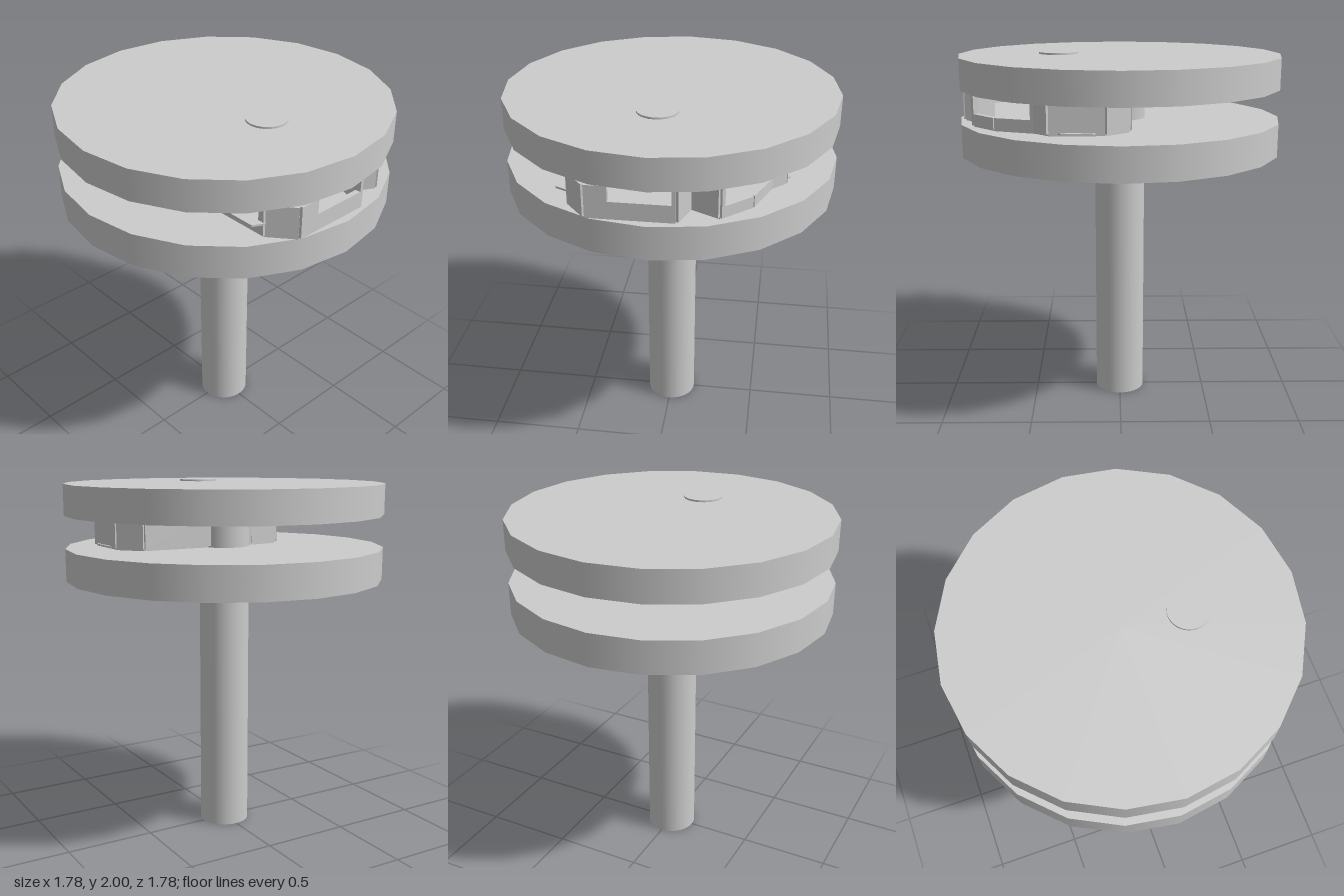
import * as THREE from 'three';

const grey = new THREE.MeshStandardMaterial({ color: 0xcccccc, side: THREE.DoubleSide });

function add(parent, name, geometry) {
  const mesh = new THREE.Mesh(geometry, grey);
  mesh.name = name;
  parent.add(mesh);
  return mesh;
}

// upright cylinder between two heights
function post(parent, name, r, y0, y1, sides, x = 0, z = 0) {
  add(parent, name, new THREE.CylinderGeometry(r, r, y1 - y0, sides)).position.set(x, (y0 + y1) / 2, z);
}

// straight wall slab from a to b ([x, z]) between two heights
function slab(parent, name, a, b, y0, y1, t = 0.03) {
  const dx = b[0] - a[0], dz = b[1] - a[1];
  const mesh = add(parent, name, new THREE.BoxGeometry(Math.hypot(dx, dz), y1 - y0, t));
  mesh.position.set((a[0] + b[0]) / 2, (y0 + y1) / 2, (a[1] + b[1]) / 2);
  mesh.rotation.y = -Math.atan2(dz, dx);
}

// wall with an opening between fractions u0 and u1 of its length
function windowWall(parent, a, b, u0, u1, sill, lintel) {
  const at = u => [a[0] + (b[0] - a[0]) * u, a[1] + (b[1] - a[1]) * u];
  slab(parent, 'windowSill', a, b, 1.65, sill);
  if (lintel < 1.82) slab(parent, 'windowLintel', a, b, lintel, 1.82);
  if (u0 > 0) slab(parent, 'windowJamb', a, at(u0), sill, lintel);
  if (u1 < 1) slab(parent, 'windowJamb', at(u1), b, sill, lintel);
}

// horizontal plate from an [x, z] outline
function plate(parent, name, points, y, height) {
  const shape = new THREE.Shape(points.map(([x, z]) => new THREE.Vector2(x, -z)));
  const geometry = new THREE.ExtrudeGeometry(shape, { depth: height, bevelEnabled: false });
  geometry.rotateX(-Math.PI / 2);
  add(parent, name, geometry).position.y = y;
}

export function createModel() {
  const model = new THREE.Group();
  model.name = 'discStand';

  // two faceted discs on a round column
  post(model, 'column', 0.14, 0, 1.82, 40);
  post(model, 'lowerDisc', 0.89, 1.46, 1.64, 20);
  post(model, 'upperDisc', 0.89, 1.82, 1.99, 20);

  // off-centre pin through the upper disc
  post(model, 'pin', 0.108, 1.74, 2, 40, -0.025, 0.34);

  // open housing held between the discs
  const housing = new THREE.Group();
  housing.name = 'housing';
  model.add(housing);

  // outline of the housing; windows are [start, end, sill, lintel]
  const outline = [
    { p: [-0.3, 0.84], window: [0.26, 0.96, 1.74, 1.82] },
    { p: [0.13, 0.84] },
    { p: [0.18, 0.69] },
    { p: [0.33, 0.77], window: [0.1, 1, 1.71, 1.81] },
    { p: [0.47, 0.64], window: [0, 0.9, 1.71, 1.81] },
    { p: [0.55, 0.43] },
    { p: [0.62, 0.36] },
    { p: [0.62, 0.08] },
    { p: [0.52, -0.04] },
    { p: [0.14, -0.05] },
    { p: [-0.14, -0.05] },
    { p: [-0.32, -0.03] },
    { p: [-0.4, 0.1] },
    { p: [-0.4, 0.38], window: [0.1, 0.9, 1.71, 1.81] },
    { p: [-0.4, 0.72] },
  ];
  outline.forEach(({ p, window }, i) => {
    const next = outline[(i + 1) % outline.length].p;
    if (window) windowWall(housing, p, next, ...window);
    else slab(housing, 'housingWall', p, next, 1.65, 1.82);
  });
  plate(housing, 'housingFloor', outline.map(o => o.p), 1.638, 0.03);

  // thin fins sticking out at the sides
  plate(housing, 'leftFin', [[0.6, 0.1], [0.65, 0.14], [0.65, 0.3], [0.6, 0.34]], 1.65, 0.008);
  plate(housing, 'rightFin', [[-0.39, 0.5], [-0.39, 0.74], [-0.47, 0.7], [-0.47, 0.56]], 1.715, 0.01);

  return model;
}
